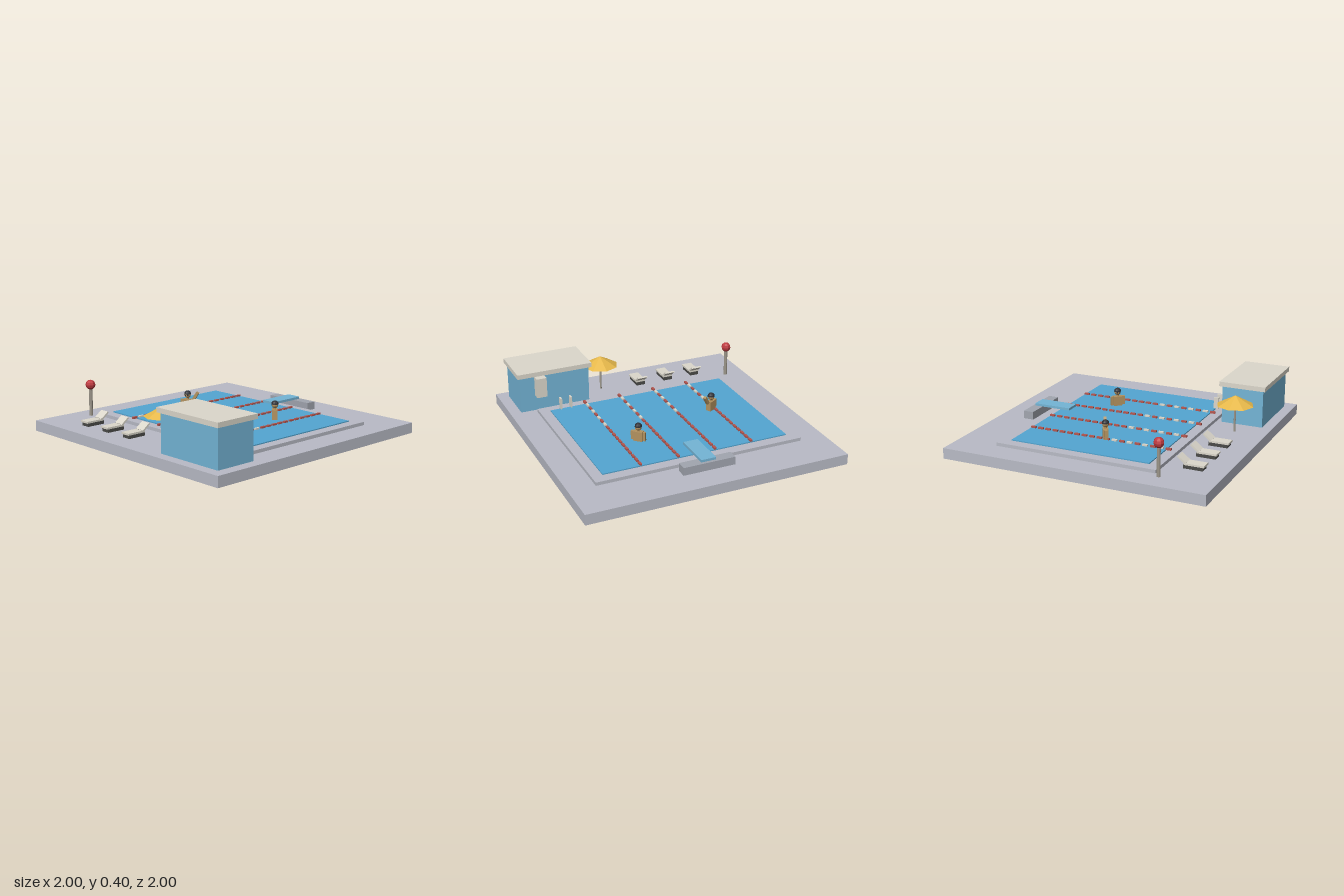
import * as THREE from 'three';

const mat = (color) => new THREE.MeshStandardMaterial({ color, flatShading: true });
const M = {
  paving: mat(0xb9bbc6), stone: mat(0xa2a6b0), water: mat(0x53a6d2), blue: mat(0x74b5d6),
  cream: mat(0xdcd8cc), dark: mat(0x4a4a48), pole: mat(0x9c968a), yellow: mat(0xe6b84a),
  red: mat(0xc03a40), floatRed: mat(0xb5564f), skin: mat(0xb3925f), cap: mat(0x2e3036),
};

function add(parent, name, geometry, material, x = 0, y = 0, z = 0) {
  const mesh = new THREE.Mesh(geometry, material);
  mesh.name = name;
  mesh.position.set(x, y, z);
  parent.add(mesh);
  return mesh;
}

// Box given by its limits on each axis
function box(parent, name, material, x0, x1, y0, y1, z0, z1) {
  return add(parent, name, new THREE.BoxGeometry(x1 - x0, y1 - y0, z1 - z0), material,
    (x0 + x1) / 2, (y0 + y1) / 2, (z0 + z1) / 2);
}

function group(parent, name, x, y, z) {
  const g = new THREE.Group();
  g.name = name;
  g.position.set(x, y, z);
  parent.add(g);
  return g;
}

function addSwimmer(parent, x, z, turn, waving) {
  const s = group(parent, 'swimmer', x, 0.112, z);
  s.rotation.y = turn;
  box(s, 'torso', M.skin, -0.035, 0.035, 0, 0.075, -0.02, 0.02);
  box(s, 'rightArm', M.skin, -0.056, -0.036, 0.006, 0.073, -0.011, 0.011);
  if (waving) {
    const arm = add(s, 'raisedArm', new THREE.BoxGeometry(0.022, 0.075, 0.022), M.skin, 0.064, 0.1, 0);
    arm.rotation.z = -0.55;
  } else {
    box(s, 'leftArm', M.skin, 0.036, 0.056, 0.006, 0.073, -0.011, 0.011);
  }
  add(s, 'neck', new THREE.CylinderGeometry(0.01, 0.01, 0.012, 8), M.skin, 0, 0.08, 0);
  add(s, 'head', new THREE.SphereGeometry(0.025, 10, 8), M.skin, 0, 0.108, 0);
  add(s, 'cap', new THREE.SphereGeometry(0.028, 10, 4, 0, Math.PI * 2, 0, Math.PI / 2), M.cap, 0, 0.113, 0);
  for (const side of [-1, 1]) {
    add(s, 'goggle', new THREE.BoxGeometry(0.01, 0.007, 0.006), M.cap, side * 0.009, 0.107, 0.023);
  }
}

function addLounger(parent, x) {
  const l = group(parent, 'lounger', x, 0.08, 0);
  box(l, 'loungerBase', M.dark, -0.036, 0.036, 0, 0.026, 0.69, 0.835);
  box(l, 'loungerSeat', M.cream, -0.04, 0.04, 0.026, 0.04, 0.695, 0.845);
  const back = add(l, 'loungerBack', new THREE.BoxGeometry(0.08, 0.013, 0.074), M.cream, 0, 0.06, 0.68);
  back.rotation.x = 0.66;
}

export function createModel() {
  const model = new THREE.Group();
  model.name = 'swimmingPool';

  // Ground, pool rim and water
  box(model, 'groundSlab', M.paving, -1, 1, 0, 0.08, -1, 1);
  box(model, 'poolRim', M.paving, -0.8, 0.8, 0.08, 0.105, -0.68, 0.56);
  box(model, 'water', M.water, -0.72, 0.72, 0.1, 0.113, -0.6, 0.48);

  // Lane lines made of floats
  for (let lane = 0; lane < 4; lane++) {
    const line = group(model, 'laneLine', -0.434 + lane * 0.289, 0.118, 0);
    for (let i = 0; i < 19; i++) {
      const white = i > 10 && i % 2 === 1;
      add(line, 'laneFloat', new THREE.BoxGeometry(0.018, 0.015, 0.04),
        white ? M.cream : M.floatRed, 0, 0, -0.58 + i * 0.06);
    }
  }

  // Diving board on its block
  box(model, 'divingBlock', M.stone, -0.2, 0.2, 0.08, 0.14, -0.8, -0.72);
  box(model, 'divingBoard', M.blue, -0.058, 0.056, 0.142, 0.16, -0.78, -0.485);

  // Ladder rails at the pool edge
  for (const x of [0.555, 0.635]) {
    box(model, 'ladderRail', M.cream, x - 0.006, x + 0.006, 0.105, 0.2, 0.463, 0.503);
  }

  // Changing house
  const house = group(model, 'changingHouse', 0, 0, 0);
  box(house, 'walls', M.blue, 0.36, 0.916, 0.08, 0.366, 0.6, 0.92);
  box(house, 'roof', M.cream, 0.34, 0.936, 0.366, 0.402, 0.58, 0.94);
  box(house, 'wallBox', M.cream, 0.72, 0.8, 0.205, 0.36, 0.54, 0.6);

  // Parasol
  const parasol = group(model, 'parasol', 0.2, 0, 0.76);
  add(parasol, 'parasolPole', new THREE.CylinderGeometry(0.008, 0.008, 0.22, 8), M.pole, 0, 0.19, 0);
  add(parasol, 'parasolCanopy', new THREE.ConeGeometry(0.14, 0.075, 8), M.yellow, 0, 0.323, 0);

  // Signal post
  const post = group(model, 'signalPost', -0.84, 0, 0.6);
  add(post, 'postPole', new THREE.CylinderGeometry(0.014, 0.014, 0.22, 8), M.pole, 0, 0.19, 0);
  add(post, 'postBall', new THREE.SphereGeometry(0.038, 8, 6), M.red, 0, 0.322, 0);

  for (const x of [-0.6, -0.36, -0.12]) addLounger(model, x);

  addSwimmer(model, -0.405, -0.005, 0.5, true);
  addSwimmer(model, 0.3, -0.245, -0.8, false);
  return model;
}
